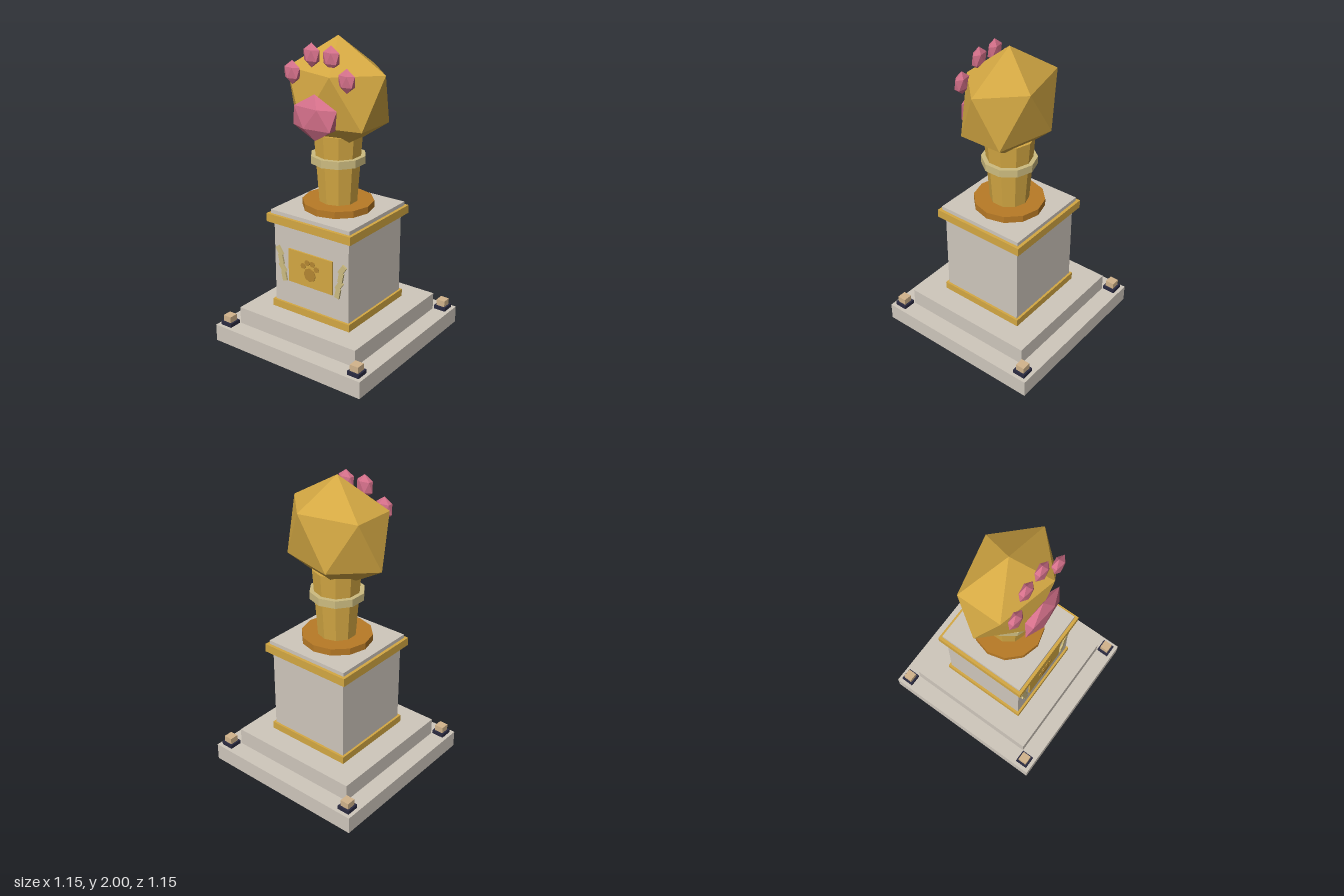
import * as THREE from 'three';
import { ConvexGeometry } from 'three/addons/geometries/ConvexGeometry.js';

const material = (name, color) => {
  const m = new THREE.MeshStandardMaterial({ color });
  m.name = name;
  return m;
};

// Twenty-sided ball standing on a point: two poles and two staggered rings of five
function pointedIcosahedron(rx, ry, rz) {
  const points = [new THREE.Vector3(0, ry, 0), new THREE.Vector3(0, -ry, 0)];
  const h = 1 / Math.sqrt(5), r = 2 * h;
  for (let i = 0; i < 10; i++) {
    const a = (i * Math.PI) / 5;
    points.push(new THREE.Vector3(r * Math.cos(a) * rx, (i % 2 ? -h : h) * ry, r * Math.sin(a) * rz));
  }
  return new ConvexGeometry(points);
}

// Cylinder with flat facets
function facetedCylinder(top, bottom, height, sides) {
  const g = new THREE.CylinderGeometry(top, bottom, height, sides).toNonIndexed();
  g.computeVertexNormals();
  return g;
}

export function createModel() {
  const stone = material('stone', 0xcfc7bc);
  const gold = material('gold', 0xd4a843);
  const bronze = material('bronze', 0xb87a26);
  const paleGold = material('paleGold', 0xcdbc80);
  const emblemGold = material('emblemGold', 0xb48732);
  const pink = material('pink', 0xd4708a);
  const navy = material('navy', 0x2a2a40);
  const tan = material('tan', 0xd2b48c);

  const model = new THREE.Group();
  model.name = 'pawTrophy';
  const add = (name, geometry, mat, x, y, z, parent = model) => {
    const mesh = new THREE.Mesh(geometry, mat);
    mesh.name = name;
    mesh.position.set(x, y, z);
    parent.add(mesh);
    return mesh;
  };

  // Square pedestal tiers: name, half width, bottom, top, material
  const tiers = [
    ['lowerStep', 0.575, 0, 0.115, stone],
    ['upperStep', 0.46, 0.115, 0.23, stone],
    ['bottomTrim', 0.305, 0.23, 0.28, gold],
    ['column', 0.29, 0.28, 0.83, stone],
    ['topTrim', 0.325, 0.83, 0.885, gold],
    ['cap', 0.305, 0.885, 0.91, stone],
  ];
  for (const [name, half, y0, y1, mat] of tiers)
    add(name, new THREE.BoxGeometry(half * 2, y1 - y0, half * 2), mat, 0, (y0 + y1) / 2, 0);

  // Small posts on the corners of the lower step
  for (const sx of [-1, 1]) for (const sz of [-1, 1]) {
    add('postFoot', new THREE.BoxGeometry(0.085, 0.025, 0.085), navy, sx * 0.508, 0.1275, sz * 0.508);
    add('postBlock', new THREE.BoxGeometry(0.06, 0.042, 0.06), tan, sx * 0.508, 0.161, sz * 0.508);
  }

  // Plaque with a raised paw print
  add('plaque', new THREE.BoxGeometry(0.345, 0.227, 0.012), gold, 0, 0.559, 0.295);
  const print = new THREE.Group();
  print.name = 'pawPrint';
  model.add(print);
  const disc = (name, r, x, y) => {
    add(name, facetedCylinder(r, r, 0.008, 8), emblemGold, x, y, 0.303, print).rotation.x = Math.PI / 2;
  };
  disc('printPad', 0.046, 0, 0.535);
  for (const s of [-1, 1]) {
    disc('printToe', 0.019, s * 0.052, 0.586);
    disc('printToe', 0.019, s * 0.02, 0.614);
  }

  // Zigzag sprigs beside the plaque
  for (const s of [-1, 1]) for (let i = 0; i < 4; i++) {
    const leaf = add('sprigLeaf', new THREE.BoxGeometry(0.034, 0.066, 0.012), paleGold,
      s * (0.247 - i * 0.0115), 0.637 - i * 0.056, 0.296);
    leaf.rotation.z = -s * (i % 2 ? 0.2 : 0.6);
    leaf.rotation.z *= -1;
    leaf.rotation.z *= s * s;
    leaf.rotation.z = -leaf.rotation.z;
  }

  // Collar, arm and cuff
  add('collar', facetedCylinder(0.23, 0.23, 0.045, 12), bronze, 0, 0.9325, 0);
  add('arm', facetedCylinder(0.159, 0.125, 0.455, 10), gold, 0, 1.1775, 0);
  add('cuff', facetedCylinder(0.177, 0.177, 0.05, 10), paleGold, 0, 1.235, 0);

  // Paw with its main pad and four toe pads
  add('paw', pointedIcosahedron(0.383, 0.363, 0.278), gold, 0, 1.637, 0);
  add('mainPad', pointedIcosahedron(0.182, 0.143, 0.056), pink, 0, 1.543, 0.238);
  for (const s of [-1, 1]) {
    add('outerToePad', pointedIcosahedron(0.064, 0.074, 0.034), pink, s * 0.201, 1.783, 0.193);
    add('innerToePad', pointedIcosahedron(0.064, 0.074, 0.034), pink, s * 0.072, 1.898, 0.168);
  }
  return model;
}
